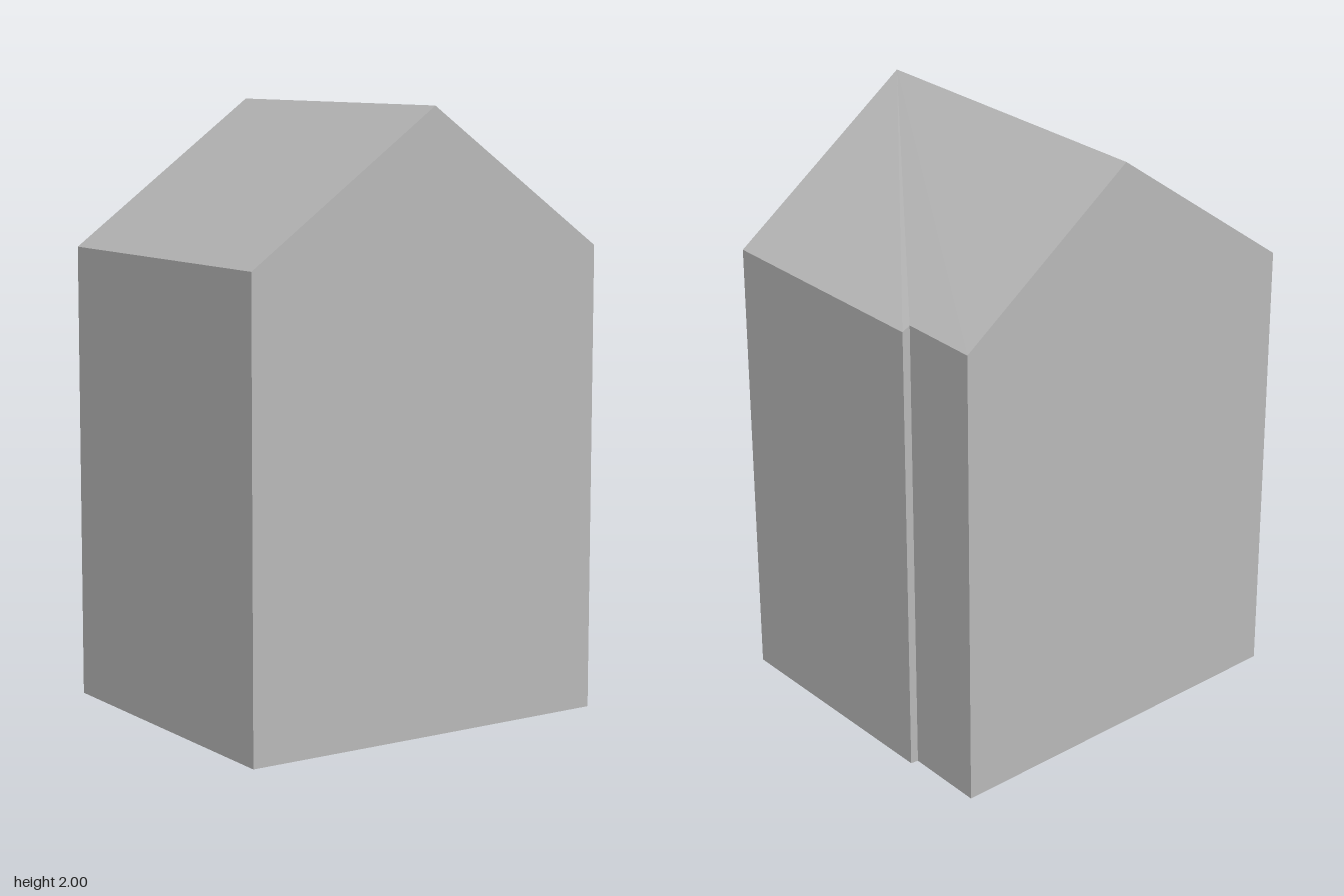
import * as THREE from 'three';

// Footprint corners, counter-clockwise from above: [x, top height, z]
const corners = [
  [-0.72, 1.52, 0.484],  // 0 front left eave
  [-0.045, 2, 0.553],    // 1 front ridge
  [0.602, 1.54, 0.617],  // 2 front right eave
  [0.705, 1.54, -0.21],  // 3 step, outer
  [0.68, 1.556, -0.216], // 4 step, inner
  [0.717, 1.556, -0.49], // 5 back right eave
  [0.09, 2, -0.553],     // 6 back ridge
  [-0.573, 1.52, -0.62], // 7 back left eave
].map((c) => new THREE.Vector3(...c));

// Flat-shaded mesh from a list of triangle corner points
function surface(name, points, material) {
  const geometry = new THREE.BufferGeometry().setFromPoints(points);
  geometry.computeVertexNormals();
  const mesh = new THREE.Mesh(geometry, material);
  mesh.name = name;
  return mesh;
}

// Triangles of a polygon seen from above
function triangles(polygon) {
  const contour = polygon.map((p) => new THREE.Vector2(p.x, -p.z));
  return THREE.ShapeUtils.triangulateShape(contour, []).flat().map((i) => polygon[i]);
}

export function createModel() {
  const group = new THREE.Group();
  group.name = 'gabledHouse';
  const grey = new THREE.MeshStandardMaterial({ color: 0xb8b8b8 });
  grey.name = 'plain grey';

  // Walls: one quad per footprint edge, rising to the eaves and ridge
  const ground = corners.map((p) => new THREE.Vector3(p.x, 0, p.z));
  const walls = corners.flatMap((top, i) => {
    const j = (i + 1) % corners.length;
    return [ground[i], ground[j], corners[j], ground[i], corners[j], top];
  });
  group.add(surface('walls', walls, grey));

  // Two roof slopes either side of the ridge
  const pick = (...ids) => ids.map((i) => corners[i]);
  group.add(surface('rightRoof', triangles(pick(0, 1, 6, 7)), grey));
  group.add(surface('leftRoof', triangles(pick(1, 2, 3, 4, 5, 6)), grey));

  // Underside, facing down
  group.add(surface('floor', triangles(ground).reverse(), grey));
  return group;
}
